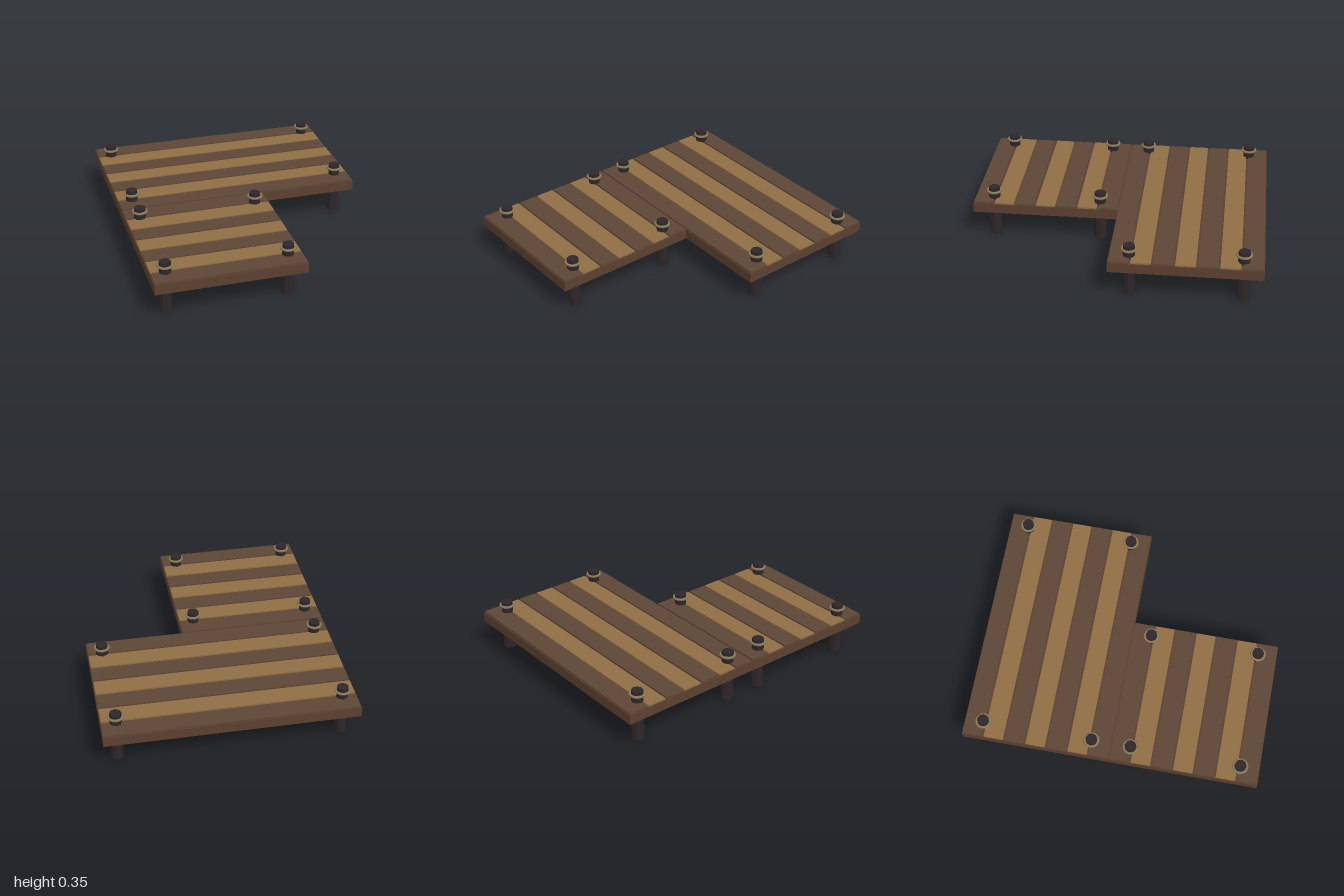
import * as THREE from 'three';

const material = (name, color, flatShading = false) => {
  const m = new THREE.MeshStandardMaterial({ color, flatShading });
  m.name = name;
  return m;
};

export function createModel() {
  const frameWood = material('frame wood', 0x5c4030);
  const darkWood = material('dark plank wood', 0x5c4636);
  const lightWood = material('light plank wood', 0x8f6e45);
  const postWood = material('post wood', 0x2e2629, true);
  const rope = material('rope', 0x8a7a58);

  const model = new THREE.Group();
  model.name = 'dock';

  const add = (parent, name, geometry, mat, x, y, z) => {
    const mesh = new THREE.Mesh(geometry, mat);
    mesh.name = name;
    mesh.position.set(x, y, z);
    parent.add(mesh);
    return mesh;
  };

  const postGeometry = new THREE.CylinderGeometry(0.039, 0.042, 0.35, 8);
  const ropeGeometry = new THREE.TorusGeometry(0.046, 0.009, 6, 12).rotateX(Math.PI / 2);

  // One rectangular deck section, one unit deep, with planks and corner posts
  const addSection = (name, left, right, zStart) => {
    const section = new THREE.Group();
    section.name = name;
    const width = right - left;
    const centre = (left + right) / 2;
    const count = 7;
    const pitch = 1 / count;
    add(section, 'deckFrame', new THREE.BoxGeometry(width, 0.067, 1), frameWood, centre, 0.2315, zStart + 0.5);

    // Alternating dark and light planks with narrow gaps
    const plankGeometry = new THREE.BoxGeometry(width - 0.01, 0.01, pitch - 0.012);
    for (let i = 0; i < count; i++) {
      const mat = i % 2 ? lightWood : darkWood;
      add(section, 'plank', plankGeometry, mat, centre, 0.27, zStart + (i + 0.5) * pitch);
    }

    // Posts through the deck, each bound with a rope ring
    for (const x of [left + 0.097, right - 0.097]) {
      for (const z of [zStart + 0.132, zStart + 0.868]) {
        add(section, 'post', postGeometry, postWood, x, 0.175, z);
        add(section, 'ropeRing', ropeGeometry, rope, x, 0.323, z);
      }
    }
    model.add(section);
  };

  addSection('rearDeck', -0.83, 0.83, -1);
  addSection('frontDeck', -0.83, 0.163, 0);
  return model;
}
